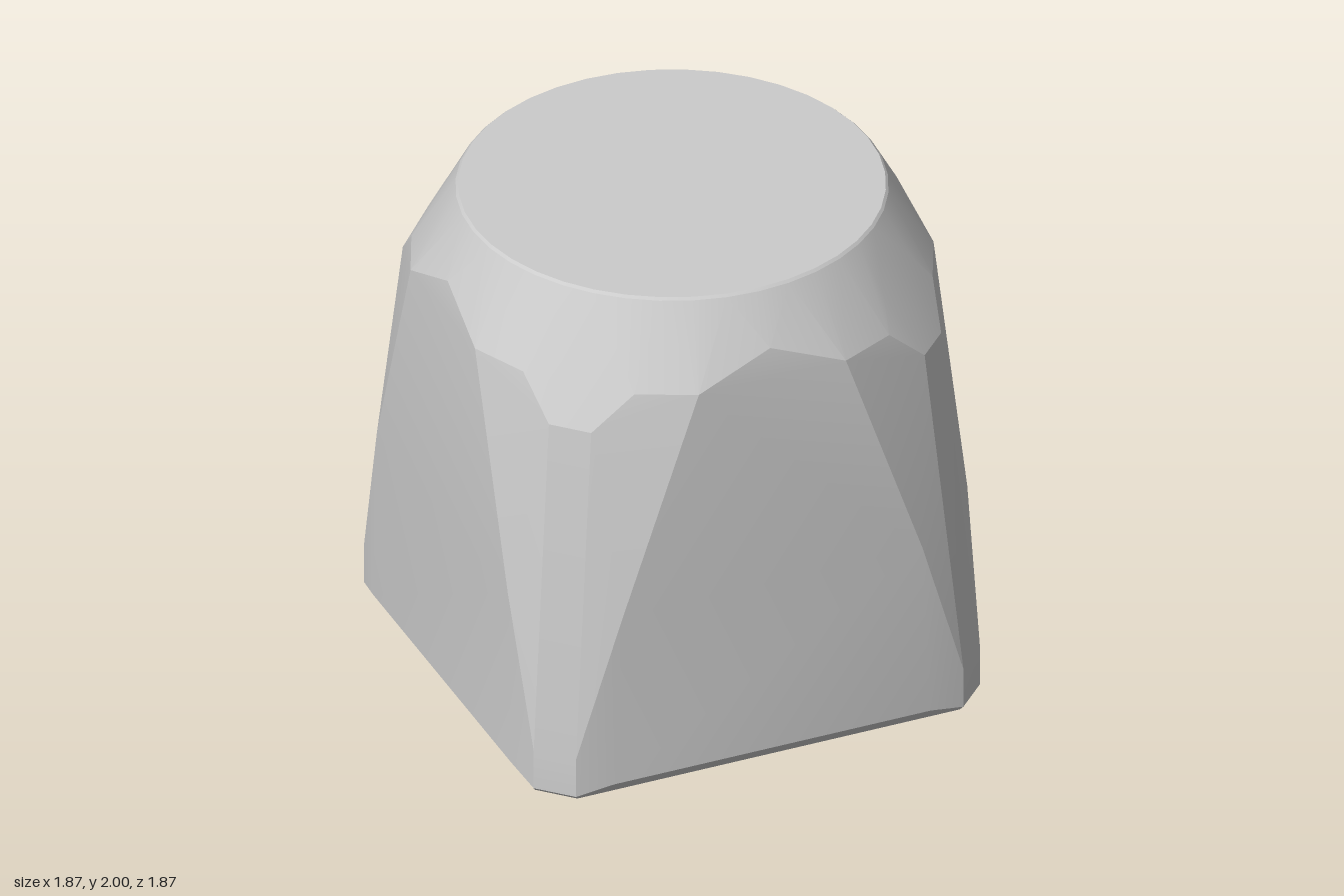
import * as THREE from 'three';
import { ConvexGeometry } from 'three/addons/geometries/ConvexGeometry.js';
import { toCreasedNormals } from 'three/addons/utils/BufferGeometryUtils.js';

export function createModel() {
  const group = new THREE.Group();
  const points = [];

  // Ring of points at radius r and height y
  const ring = (r, y, count) => {
    for (let i = 0; i < count; i++) {
      const a = (i / count) * Math.PI * 2;
      points.push(new THREE.Vector3(r * Math.cos(a), y, r * Math.sin(a)));
    }
  };

  // One point repeated on all four sides and mirrored about each corner
  const eightfold = (x, y, z) => {
    for (const sx of [-1, 1]) for (const sz of [-1, 1]) {
      points.push(new THREE.Vector3(sx * x, y, sz * z), new THREE.Vector3(sx * z, y, sz * x));
    }
  };

  // Round flat top with a fine bevel, and the shoulder below it
  ring(0.8, 2, 40);
  ring(0.81, 1.99, 40);
  ring(0.915, 1.8, 20);

  // Shoulder edge, dropping from the flat sides to the corners
  eightfold(0.3, 1.68, 0.935);
  eightfold(0.52, 1.68, 0.835);
  eightfold(0.69, 1.68, 0.69);
  eightfold(0.68, 1.53, 0.8);

  // Flat sides
  eightfold(0.61, 0.78, 0.937);
  eightfold(0.645, 0.05, 0.937);

  // Chamfered lower corners and bevelled foot
  eightfold(0.79, 0.18, 0.91);
  eightfold(0.79, 0.015, 0.91);
  eightfold(0.78, 0, 0.9);

  const body = new THREE.Mesh(
    toCreasedNormals(new ConvexGeometry(points), 0.2),
    new THREE.MeshStandardMaterial({ color: 0xcccccc })
  );
  body.name = 'taperedBlock';
  group.add(body);
  return group;
}
